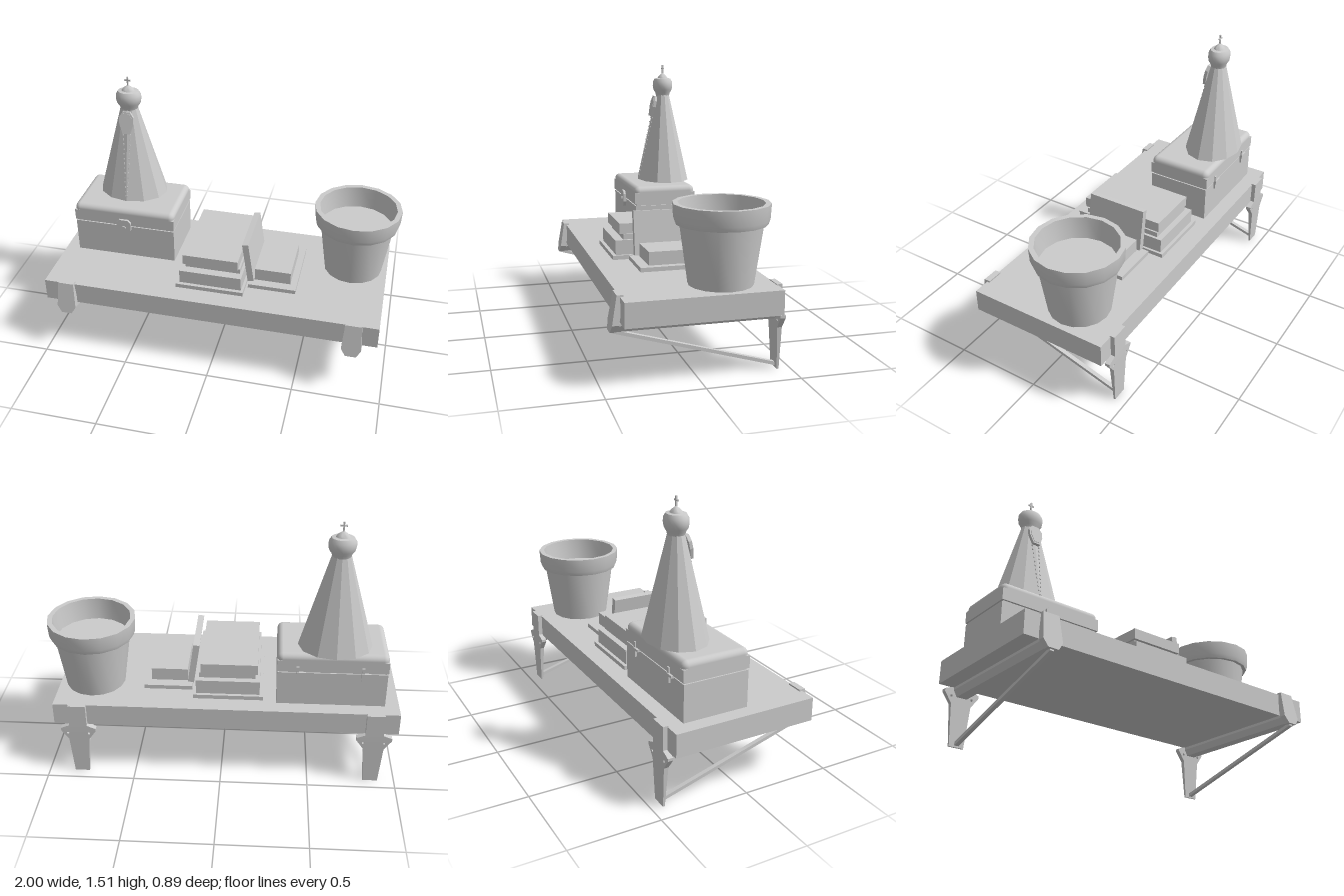
import * as THREE from 'three';
import { RoundedBoxGeometry } from 'three/addons/geometries/RoundedBoxGeometry.js';
import { toCreasedNormals } from 'three/addons/utils/BufferGeometryUtils.js';

const grey = new THREE.MeshStandardMaterial({ color: 0xcccccc });
const flat = new THREE.MeshStandardMaterial({ color: 0xcccccc, flatShading: true });
const open = new THREE.MeshStandardMaterial({ color: 0xcccccc, side: THREE.DoubleSide });

function add(parent, name, geometry, material = grey, x = 0, y = 0, z = 0) {
  const mesh = new THREE.Mesh(geometry, material);
  mesh.name = name;
  mesh.position.set(x, y, z);
  parent.add(mesh);
  return mesh;
}

// Box given by its limits on each axis
function block(parent, name, x0, x1, y0, y1, z0, z1) {
  return add(parent, name, new THREE.BoxGeometry(x1 - x0, y1 - y0, z1 - z0), grey,
    (x0 + x1) / 2, (y0 + y1) / 2, (z0 + z1) / 2);
}

function group(parent, name, x = 0, y = 0, z = 0) {
  const g = new THREE.Group();
  g.name = name;
  g.position.set(x, y, z);
  parent.add(g);
  return g;
}

// Plate symmetric about x = 0, from the points of its right half (bottom to top)
function plate(half, depth, holes = []) {
  const left = half.map(([x, y]) => [-x, y]).reverse();
  const shape = new THREE.Shape([...half, ...left].map(([x, y]) => new THREE.Vector2(x, y)));
  for (const [x, y, r] of holes) shape.holes.push(new THREE.Path().absarc(x, y, r, 0, Math.PI * 2, true));
  return new THREE.ExtrudeGeometry(shape, { depth, bevelEnabled: false, curveSegments: 6 });
}

const lathe = (points, sides) =>
  new THREE.LatheGeometry(points.map(([r, y]) => new THREE.Vector2(r, y)), sides);

function addBracket(parent, x) {
  const g = group(parent, 'bracket', x);
  // Wall plate with screw wings, thinner towards its foot
  const back = plate([[0.042, 0], [0.058, 0.23], [0.1, 0.29], [0.1, 0.305], [0.05, 0.325], [0.05, 0.455]],
    0.03, [[0.06, 0.272, 0.007], [-0.06, 0.272, 0.007]]);
  const p = back.attributes.position;
  for (let i = 0; i < p.count; i++) {
    const taper = Math.min(1, 0.35 + p.getY(i) * 2.2);
    p.setZ(i, -0.445 + 0.01 * (1 - taper) + p.getZ(i) * taper);
  }
  back.computeVertexNormals();
  add(g, 'wallPlate', back, flat);
  // Arm under the shelf
  add(g, 'arm', plate([[0.03, 0.27], [0.05, 0.305], [0.05, 0.32]], 0.85), flat, 0, 0, -0.42);
  // Front lip leaning back over the shelf edge
  const lip = plate([[0.03, 0.268], [0.056, 0.31], [0.046, 0.46]], 0.035);
  const q = lip.attributes.position;
  for (let i = 0; i < q.count; i++) q.setZ(i, q.getZ(i) + 0.41 - (q.getY(i) - 0.268) * 0.17);
  lip.computeVertexNormals();
  add(g, 'lip', lip, flat);
  // Diagonal strut
  const strut = add(g, 'strut', new THREE.BoxGeometry(0.024, 0.018, 0.895), grey, 0, 0.143, 0);
  strut.rotation.x = -Math.atan2(0.25, 0.86);
}

function addChest(parent) {
  const g = group(parent, 'chest');
  block(g, 'chestBody', -0.92, -0.31, 0.45, 0.657, -0.335, 0.038);
  block(g, 'seam', -0.912, -0.318, 0.65, 0.67, -0.328, 0.03);
  block(g, 'lidEdge', -0.922, -0.308, 0.667, 0.735, -0.34, 0.042);
  add(g, 'lidTop', new RoundedBoxGeometry(0.614, 0.11, 0.382, 3, 0.032), grey, -0.615, 0.72, -0.149);
  // Clasp with keyhole boss
  add(g, 'clasp', plate([[0.024, 0.608], [0.043, 0.64], [0.043, 0.69], [0.026, 0.708]], 0.018), flat, -0.615, 0, 0.038);
  const boss = add(g, 'claspBoss', new THREE.CylinderGeometry(0.014, 0.014, 0.01, 10), grey, -0.615, 0.655, 0.058);
  boss.rotation.x = Math.PI / 2;
  for (const x of [-0.8, -0.44]) {
    block(g, 'hinge', x - 0.026, x + 0.026, 0.655, 0.668, -0.352, -0.33);
    block(g, 'hingeStrap', x + 0.01, x + 0.026, 0.615, 0.7, -0.347, -0.33);
  }
}

function addStatue(parent) {
  const g = group(parent, 'statue', -0.627, 0, -0.218);
  // Faceted robe, oval in plan
  const robe = add(g, 'robe', lathe([[0, 0.775], [0.207, 0.775], [0.05, 1.33], [0, 1.33]], 12), flat);
  robe.scale.z = 0.79;
  const head = add(g, 'head', toCreasedNormals(lathe([[0.05, 1.315], [0.056, 1.335], [0.07, 1.355], [0.075, 1.38],
    [0.073, 1.405], [0.06, 1.425], [0.038, 1.428], [0.03, 1.44], [0.01, 1.455], [0, 1.462]], 20), 0.8));
  head.scale.z = 0.83;
  block(g, 'crossPost', -0.004, 0.004, 1.45, 1.51, -0.004, 0.004);
  block(g, 'crossBar', -0.018, 0.018, 1.485, 1.493, -0.004, 0.004);
  // Front pieces lie along the slope of the robe
  const front = group(g, 'robeFront', 0, 0.775, 0.1635);
  front.rotation.x = -Math.atan2(0.124, 0.555);
  add(front, 'badge', plate([[0.022, 0.42], [0.042, 0.48], [0.042, 0.52], [0.022, 0.55]], 0.018), flat, 0, 0, -0.002);
  add(front, 'badgeFace', plate([[0.016, 0.43], [0.034, 0.482], [0.034, 0.515], [0.018, 0.54]], 0.004), flat, 0, 0, 0.015);
  for (const s of [-1, 1]) {
    for (let i = 0; i < 14; i++) {
      const t = i / 13;
      add(front, 'bead', new THREE.BoxGeometry(0.005, 0.009, 0.006), grey, s * (0.004 + 0.018 * t), 0.03 + 0.38 * t, 0);
    }
  }
}

function addBooks(parent) {
  const pile = group(parent, 'bookStack');
  block(pile, 'bottomCover', -0.235, 0.162, 0.45, 0.474, -0.315, 0.283);
  block(pile, 'bottomPages', -0.215, 0.148, 0.47, 0.49, -0.296, 0.262);
  block(pile, 'middleBook', -0.215, 0.148, 0.488, 0.558, -0.296, 0.266);
  block(pile, 'thinBook', -0.19, 0.132, 0.556, 0.588, -0.26, 0.216);
  block(pile, 'topBook', -0.202, 0.122, 0.588, 0.648, -0.264, 0.235);
  const side = group(parent, 'sideBooks');
  block(side, 'lowBook', 0.175, 0.453, 0.45, 0.474, -0.23, 0.194);
  block(side, 'smallBook', 0.205, 0.415, 0.474, 0.549, -0.17, 0.14);
  // Book leaning against the stack
  const lean = add(side, 'leaningBook', new THREE.BoxGeometry(0.036, 0.25, 0.355), grey, 0.168, 0.6, -0.012);
  lean.rotation.z = 0.145;
}

function addPot(parent) {
  const g = group(parent, 'flowerPot', 0.747, 0, -0.152);
  const profile = [[0, 0.45], [0.17, 0.45], [0.215, 0.765], [0.236, 0.765], [0.245, 0.79], [0.25, 0.87],
    [0.222, 0.87], [0.208, 0.74]];
  add(g, 'pot', toCreasedNormals(lathe(profile, 16), 0.5), open);
  const soil = add(g, 'soil', new THREE.CircleGeometry(0.212, 16), grey, 0, 0.745, 0);
  soil.rotation.x = -Math.PI / 2;
}

export function createModel() {
  const model = new THREE.Group();
  model.name = 'loadedWallShelf';
  block(model, 'shelf', -1, 0.95, 0.32, 0.45, -0.42, 0.395);
  for (const x of [-0.863, 0.81]) addBracket(model, x);
  addChest(model);
  addStatue(model);
  addBooks(model);
  addPot(model);
  return model;
}
